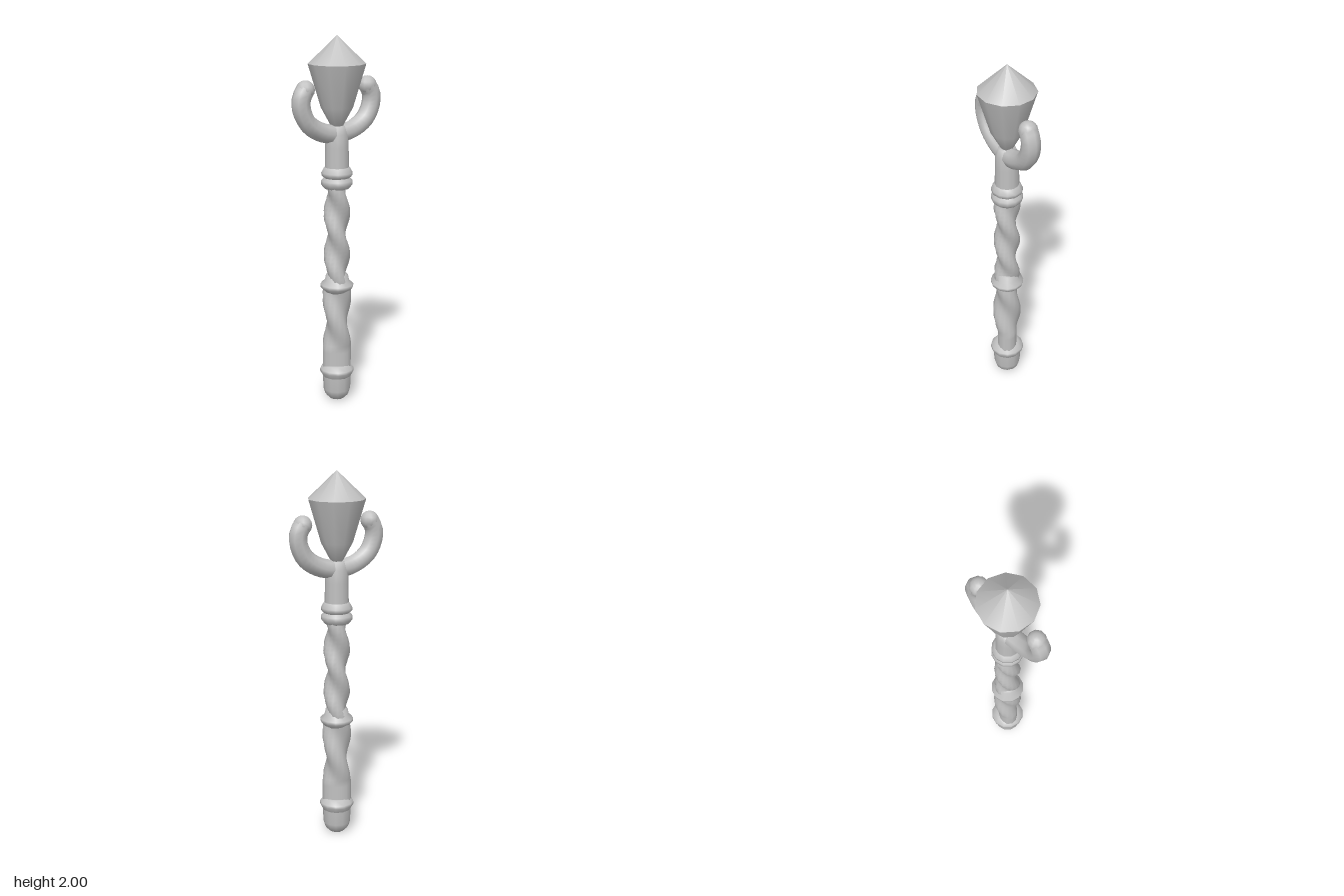
import * as THREE from 'three';
import { mergeVertices } from 'three/addons/utils/BufferGeometryUtils.js';

const metal = new THREE.MeshStandardMaterial({ color: 0xc0c0c0 });
metal.name = 'plain grey';
const DEG = Math.PI / 180;

function add(group, name, geometry) {
  const mesh = new THREE.Mesh(geometry, metal);
  mesh.name = name;
  group.add(mesh);
  return mesh;
}

// Turned part from [radius, y] pairs, listed bottom to top
function turned(points, sides) {
  return new THREE.LatheGeometry(points.map(([r, y]) => new THREE.Vector2(r, y)), sides);
}

// Two-lobed shaft whose lobes point along angle(y), in degrees
function twisted(y0, y1, mean, amp, angle) {
  const g = new THREE.CylinderGeometry(1, 1, y1 - y0, 16, 24, true);
  g.translate(0, (y0 + y1) / 2, 0);
  const p = g.attributes.position;
  for (let i = 0; i < p.count; i++) {
    const a = Math.atan2(p.getX(i), p.getZ(i)), y = p.getY(i);
    const r = mean + amp * Math.cos(2 * (a - angle(y) * DEG));
    p.setXYZ(i, r * Math.sin(a), y, r * Math.cos(a));
  }
  g.deleteAttribute('uv');
  g.deleteAttribute('normal');
  const merged = mergeVertices(g);
  merged.computeVertexNormals();
  return merged;
}

export function createModel() {
  const model = new THREE.Group();
  model.name = 'sceptre';

  // Rounded foot with its flared rim
  add(model, 'pommel', turned([[0, 0], [0.04, 0.005], [0.065, 0.03], [0.074, 0.06], [0.078, 0.14]], 12));
  add(model, 'pommelRim', turned([[0.076, 0.135], [0.094, 0.165], [0.092, 0.18], [0.068, 0.205], [0.05, 0.205]], 12));

  // Twisted grip in two lengths; the lower one straightens toward the foot
  add(model, 'lowerGrip', twisted(0.18, 0.66, 0.066, 0.013,
    (y) => 60 - 150 * Math.max(0, y - 0.3) / 0.24));
  add(model, 'upperGrip', twisted(0.66, 1.24, 0.058, 0.014,
    (y) => 90 - 180 * (y - 1.02) / 0.23));

  // Collars
  add(model, 'middleCollar', turned(
    [[0.05, 0.62], [0.068, 0.63], [0.088, 0.65], [0.09, 0.668], [0.066, 0.69], [0.06, 0.72], [0.045, 0.725]], 12));
  add(model, 'lowerNeckCollar', turned(
    [[0.05, 1.195], [0.068, 1.2], [0.084, 1.22], [0.084, 1.242], [0.066, 1.26]], 12));
  add(model, 'upperNeckCollar', turned(
    [[0.066, 1.255], [0.082, 1.268], [0.083, 1.285], [0.068, 1.312], [0.055, 1.315]], 12));
  add(model, 'neck', turned([[0.064, 1.3], [0.062, 1.42], [0.06, 1.49], [0.045, 1.53], [0, 1.54]], 12));

  // Curved prongs on both sides
  for (const side of [1, -1]) {
    const prong = new THREE.Group();
    prong.name = side > 0 ? 'leftProng' : 'rightProng';
    const path = new THREE.CatmullRomCurve3(
      [[0, 1.485], [0.1, 1.507], [0.18, 1.56], [0.218, 1.64], [0.215, 1.695], [0.193, 1.732]]
        .map(([x, y]) => new THREE.Vector3(x * side, y, 0)));
    add(prong, 'prongArm', new THREE.TubeGeometry(path, 14, 0.05, 8, false));
    const tip = add(prong, 'prongTip', new THREE.SphereGeometry(0.0495, 10, 8));
    tip.position.set(0.193 * side, 1.732, 0);
    model.add(prong);
  }

  // Crystal: two tapers with a sharp belt between them
  const crystal = new THREE.Group();
  crystal.name = 'crystal';
  add(crystal, 'crystalBase', turned([[0, 1.52], [0.028, 1.525], [0.085, 1.63], [0.152, 1.855]], 11));
  add(crystal, 'crystalPoint', turned([[0.152, 1.855], [0, 2]], 11));
  crystal.rotation.y = Math.PI / 11;
  model.add(crystal);

  return model;
}
